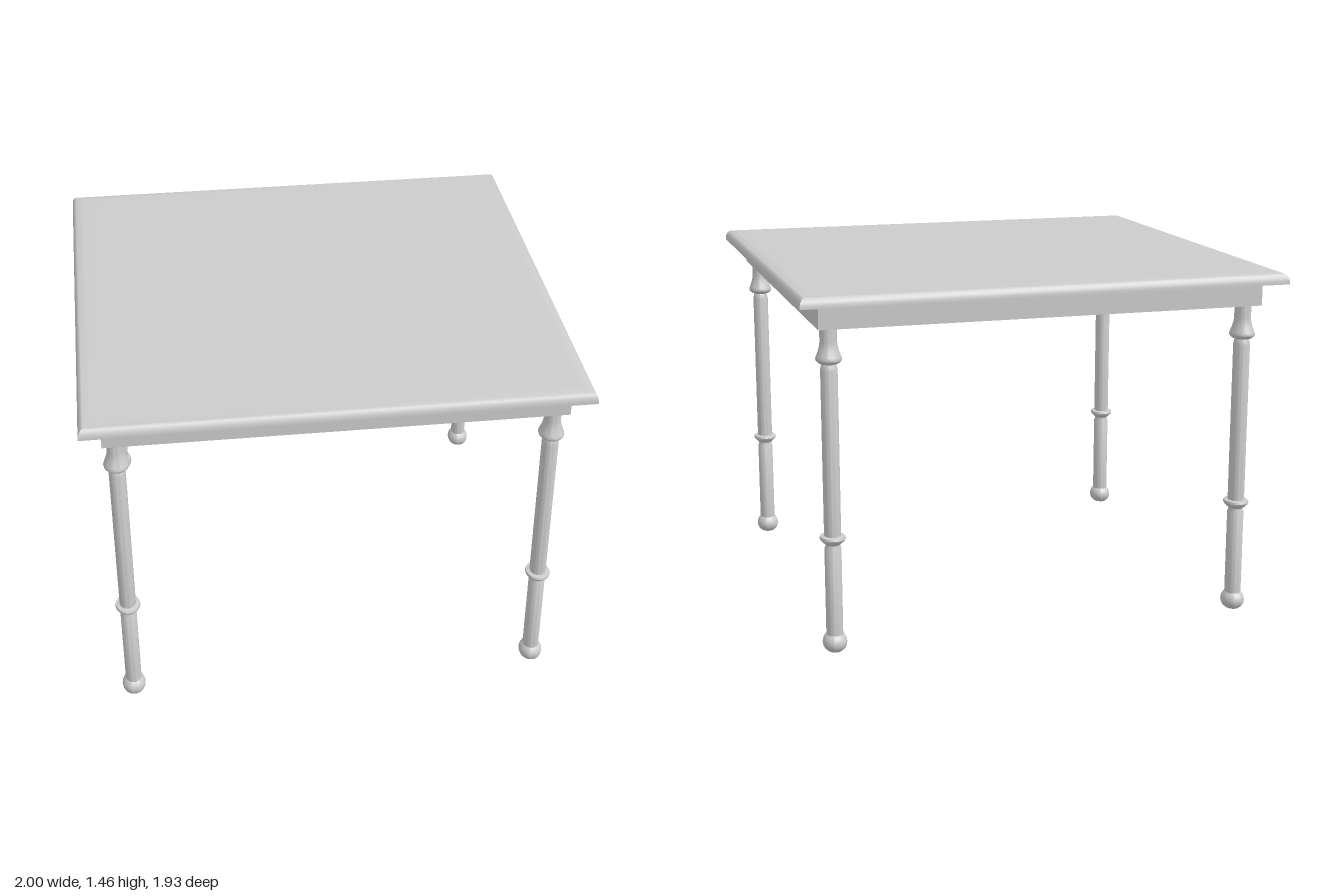
import * as THREE from 'three';
import { toCreasedNormals } from 'three/addons/utils/BufferGeometryUtils.js';

const material = new THREE.MeshStandardMaterial({ color: 0xcccccc });

function addMesh(parent, name, geometry) {
  const mesh = new THREE.Mesh(geometry, material);
  mesh.name = name;
  parent.add(mesh);
  return mesh;
}

// Rectangular slab lofted from rings of [inset, height], bottom to top
function slabGeometry(halfX, halfZ, rings) {
  const positions = [];
  const index = [];
  for (const [inset, y] of rings) {
    const x = halfX - inset, z = halfZ - inset;
    positions.push(-x, y, z, x, y, z, x, y, -z, -x, y, -z);
  }
  for (let r = 0; r < rings.length - 1; r++) {
    for (let i = 0; i < 4; i++) {
      const a = r * 4 + i, b = r * 4 + (i + 1) % 4;
      index.push(a, b, b + 4, a, b + 4, a + 4);
    }
  }
  const t = (rings.length - 1) * 4;
  index.push(t, t + 1, t + 2, t, t + 2, t + 3, 0, 2, 1, 0, 3, 2);
  const geometry = new THREE.BufferGeometry();
  geometry.setAttribute('position', new THREE.Float32BufferAttribute(positions, 3));
  geometry.setIndex(index);
  return toCreasedNormals(geometry, 0.75);
}

// Turned leg: ball foot, lower shaft, ring, upper shaft, flared collar
function legGeometry() {
  const profile = [
    [0, 0], [0.034, 0], [0.048, 0.011], [0.055, 0.024], [0.057, 0.036],
    [0.055, 0.048], [0.049, 0.06], [0.039, 0.07],
    [0.039, 0.427], [0.034, 0.437], [0.034, 0.446],
    [0.043, 0.452], [0.058, 0.466], [0.06, 0.472], [0.057, 0.479], [0.039, 0.482],
    [0.039, 1.15], [0.036, 1.163], [0.032, 1.173],
    [0.046, 1.177], [0.058, 1.187], [0.06, 1.194], [0.056, 1.204],
    [0.047, 1.225], [0.041, 1.245], [0.039, 1.262], [0.039, 1.325],
  ].map(([r, y]) => new THREE.Vector2(r, y));
  const geometry = new THREE.LatheGeometry(profile, 32);
  geometry.scale(0.86, 1, 1); // slightly oval section
  return toCreasedNormals(geometry, 0.7);
}

// Hollow rectangular frame under the top
function apronGeometry(halfX, halfZ, thickX, thickZ, height) {
  const rectangle = (Type, x, z) => new Type([
    new THREE.Vector2(-x, -z), new THREE.Vector2(x, -z),
    new THREE.Vector2(x, z), new THREE.Vector2(-x, z),
  ]);
  const shape = rectangle(THREE.Shape, halfX, halfZ);
  shape.holes.push(rectangle(THREE.Path, halfX - thickX, halfZ - thickZ));
  const geometry = new THREE.ExtrudeGeometry(shape, { depth: height, bevelEnabled: false });
  return geometry.rotateX(-Math.PI / 2);
}

export function createModel() {
  const table = new THREE.Group();
  table.name = 'table';

  // Top with a rounded upper edge
  addMesh(table, 'tableTop', slabGeometry(1, 0.965, [
    [0, 1.415], [0, 1.428], [0.004, 1.441], [0.011, 1.452],
    [0.02, 1.458], [0.05, 1.461], [0.09, 1.462],
  ]));

  // Apron
  const apron = addMesh(table, 'apron', apronGeometry(0.917, 0.887, 0.105, 0.125, 0.097));
  apron.position.y = 1.319;

  // Four legs
  const leg = legGeometry();
  for (const [side, x] of [['Left', 0.866], ['Right', -0.866]]) {
    for (const [end, z] of [['front', 0.817], ['back', -0.817]]) {
      addMesh(table, `${end}${side}Leg`, leg).position.set(x, 0, z);
    }
  }
  return table;
}
